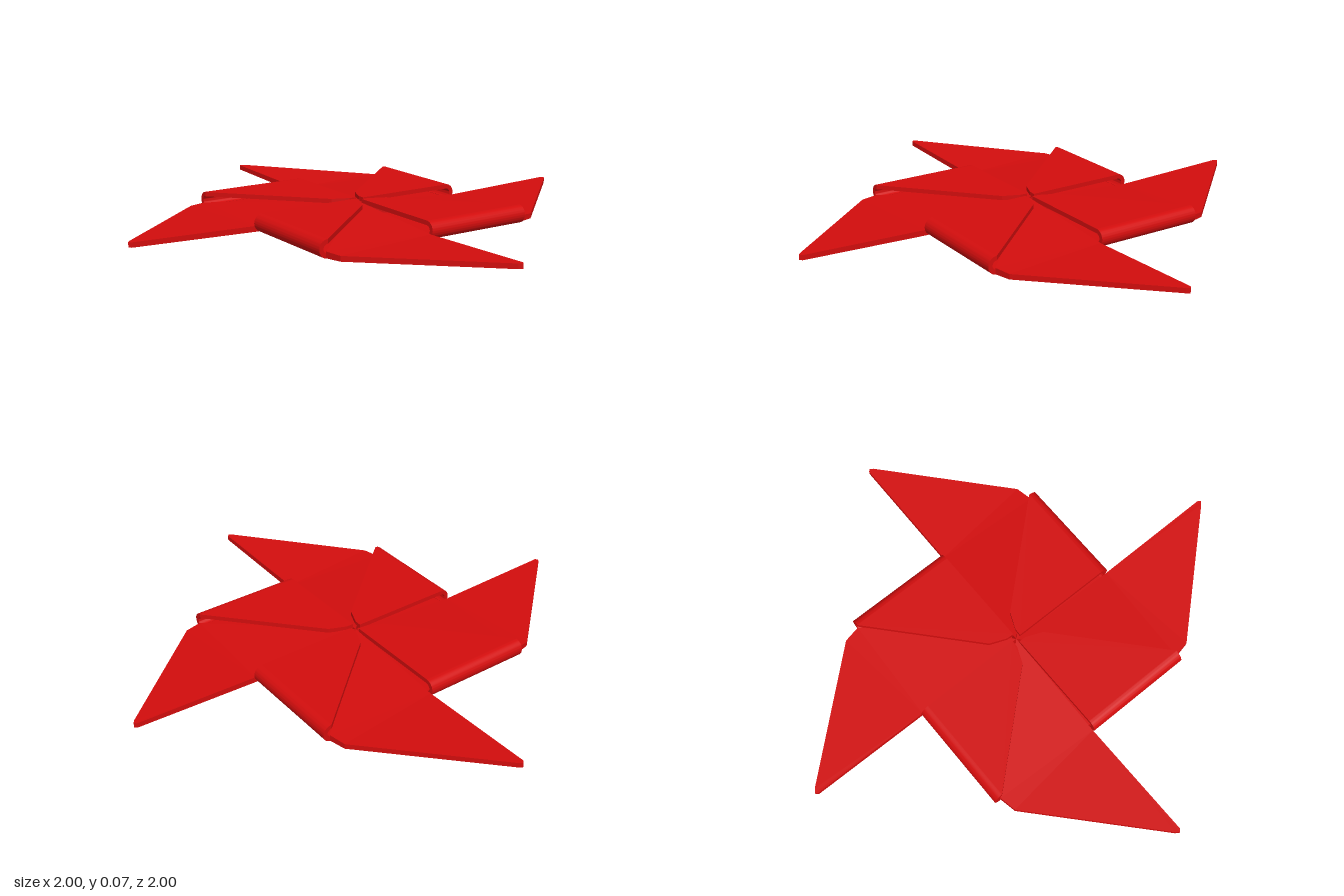
import * as THREE from 'three';
import { toCreasedNormals } from 'three/addons/utils/BufferGeometryUtils.js';

const paper = new THREE.MeshStandardMaterial({ color: 0xd20d0d });
paper.name = 'red paper';

// Solid sheet from corners [x, z, bottomY, topY], fanned from the first corner
function sheet(corners) {
  const pos = [];
  const low = ([x, z, b]) => [x, b, z];
  const high = ([x, z, , t]) => [x, t, z];
  const tri = (a, b, c) => pos.push(...a, ...b, ...c);
  const n = corners.length;
  for (let i = 1; i < n - 1; i++) {
    const [a, b, c] = [corners[0], corners[i], corners[i + 1]];
    tri(high(a), high(c), high(b));
    tri(low(a), low(b), low(c));
  }
  for (let i = 0; i < n; i++) {
    const a = corners[i], b = corners[(i + 1) % n];
    tri(low(a), high(a), high(b));
    tri(low(a), high(b), low(b));
  }
  const g = new THREE.BufferGeometry();
  g.setAttribute('position', new THREE.Float32BufferAttribute(pos, 3));
  g.computeVertexNormals();
  return g;
}

function part(name, geometry) {
  const mesh = new THREE.Mesh(geometry, paper);
  mesh.name = name;
  return mesh;
}

// Blade: low at its outer half, climbing towards the centre
function bladeGeometry() {
  return sheet([
    [0.48, 0.003, 0.003, 0.026],
    [0.99, 0.003, 0.02, 0.04],
    [1.0, 0.012, 0.02, 0.04],
    [0.99, 0.026, 0.02, 0.04],
    [0.53, 0.443, 0.005, 0.026],
    [0.46, 0.457, 0.003, 0.028],
    [0, 0, 0.003, 0.06],
  ]);
}

// Flat upper flap, cut along the diagonal
function flapGeometry() {
  const shape = new THREE.Shape(
    [[0, 0.02], [0.03, 0.021], [0.1, 0.05], [0.46, 0.45], [0, 0.45]].map(
      ([x, z]) => new THREE.Vector2(x, z)
    )
  );
  const g = new THREE.ExtrudeGeometry(shape, { depth: 0.018, bevelEnabled: false });
  return g.rotateX(Math.PI / 2).translate(0, 0.073, 0);
}

// Rounded fold joining the flap to the base
function foldGeometry() {
  const h = Math.PI / 2;
  const shape = new THREE.Shape();
  shape.absarc(0.45, 0.037, 0.036, -h, h, false);
  shape.absarc(0.45, 0.037, 0.018, h, -h, true);
  const g = new THREE.ExtrudeGeometry(shape, { depth: 0.46, bevelEnabled: false, curveSegments: 12 });
  return toCreasedNormals(g.rotateY(-h).translate(0.46, 0, 0), 0.6);
}

export function createModel() {
  const model = new THREE.Group();
  model.name = 'paperPinwheel';

  const base = part('base', new THREE.BoxGeometry(0.9, 0.018, 0.9));
  base.position.y = 0.009;
  model.add(base);

  const blade = bladeGeometry(), flap = flapGeometry(), fold = foldGeometry();
  for (let i = 0; i < 4; i++) {
    const quarter = new THREE.Group();
    quarter.name = 'quarter' + (i + 1);
    quarter.add(part('blade', blade), part('flap', flap), part('foldedEdge', fold));
    quarter.rotation.y = (i * Math.PI) / 2;
    model.add(quarter);
  }
  return model;
}
